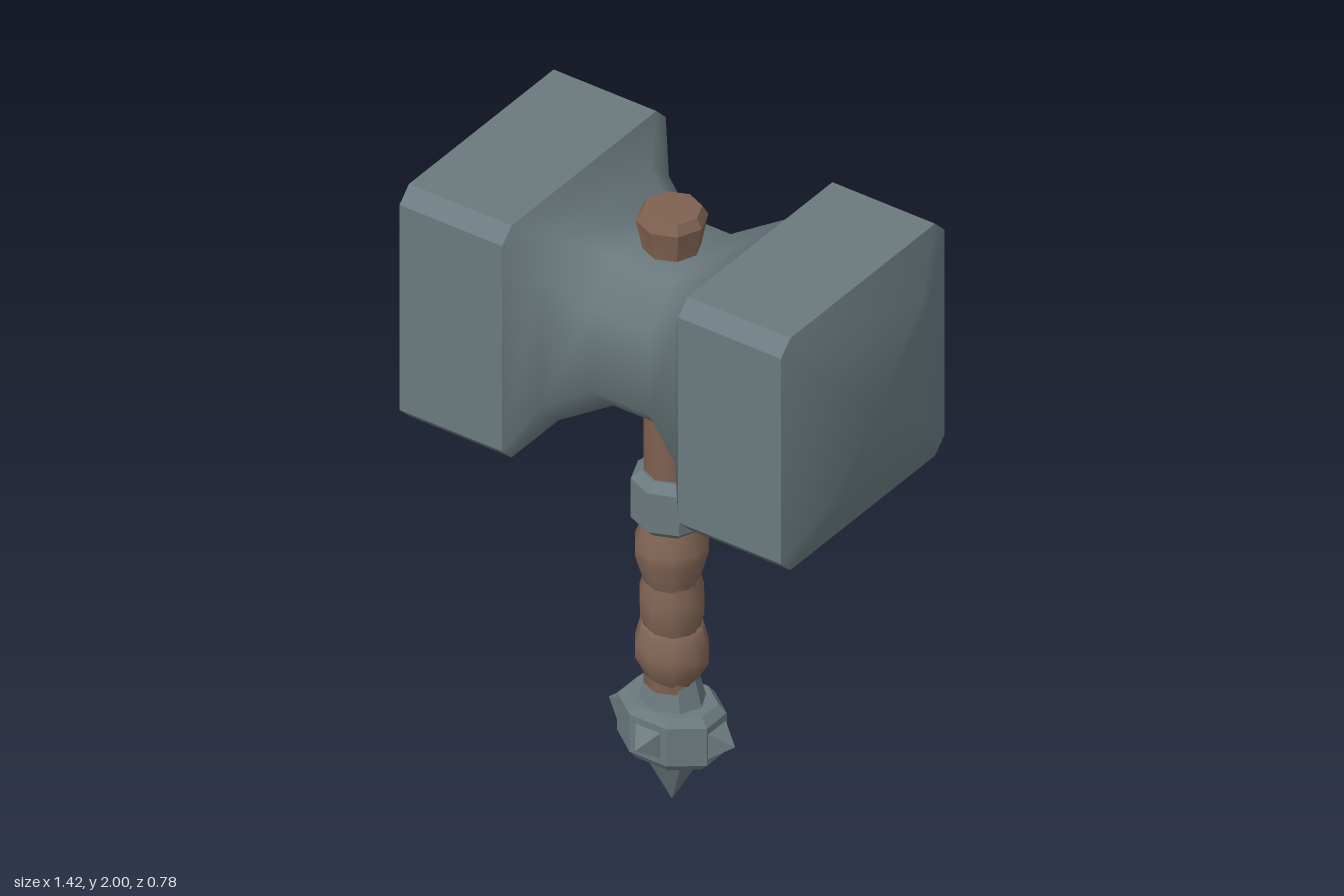
import * as THREE from 'three';
import { toCreasedNormals } from 'three/addons/utils/BufferGeometryUtils.js';

const mat = (name, color) => {
  const m = new THREE.MeshStandardMaterial({ color });
  m.name = name;
  return m;
};

// Loft of chamfered squares along x; each section is [x, halfSize, flatHalf]
function loft(sections, cy, crease, capStart, capEnd) {
  const pos = [], idx = [];
  for (const [x, h, f] of sections) {
    const ring = [[h, -f], [h, f], [f, h], [-f, h], [-h, f], [-h, -f], [-f, -h], [f, -h]];
    for (const [y, z] of ring) pos.push(x, cy + y, z);
  }
  const n = sections.length;
  for (let s = 0; s < n - 1; s++) {
    for (let i = 0; i < 8; i++) {
      const a = s * 8 + i, a2 = s * 8 + (i + 1) % 8;
      idx.push(a, a2, a + 8, a2, a2 + 8, a + 8);
    }
  }
  const cap = (s, flip) => {
    const c = pos.length / 3;
    pos.push(sections[s][0], cy, 0);
    for (let i = 0; i < 8; i++) {
      const a = s * 8 + i, b = s * 8 + (i + 1) % 8;
      if (flip) idx.push(c, b, a);
      else idx.push(c, a, b);
    }
  };
  if (capStart) cap(0, true);
  if (capEnd) cap(n - 1, false);
  const g = new THREE.BufferGeometry();
  g.setAttribute('position', new THREE.Float32BufferAttribute(pos, 3));
  g.setIndex(idx);
  return toCreasedNormals(g, crease);
}

// Turned part from a bottom-to-top profile of [radius, y]
function turned(profile, sides = 8, crease = 0.3, phase = 0) {
  const g = new THREE.LatheGeometry(profile.map(([r, y]) => new THREE.Vector2(r, y)), sides);
  g.rotateY(phase);
  return toCreasedNormals(g, crease);
}

export function createModel() {
  const model = new THREE.Group();
  model.name = 'hammer';
  const metal = mat('steel', 0x6b7a7e);
  const wood = mat('wood', 0x7f6150);
  const leather = mat('leather', 0x7f6353);
  const add = (name, geo, material, parent = model) => {
    const m = new THREE.Mesh(geo, material);
    m.name = name;
    parent.add(m);
    return m;
  };

  // Head: two blocks with bevelled striking faces, joined by a rounded waist
  const cy = 1.61;
  const block = [[0.3, 0.39, 0.345], [0.65, 0.39, 0.345], [0.71, 0.23, 0.2]];
  add('leftHeadBlock', loft(block, cy, 0.55, false, true), metal);
  const mirrored = block.map(([x, h, f]) => [-x, h, f]).reverse();
  add('rightHeadBlock', loft(mirrored, cy, 0.55, true, false), metal);
  const half = [[0.1, 0.25, 0.14], [0.23, 0.307, 0.22], [0.3, 0.39, 0.345]];
  const waist = [...half.map(([x, h, f]) => [-x, h, f]).reverse(), ...half];
  add('headWaist', loft(waist, cy, 1.0, false, false), metal);

  // Wooden shaft with a flared end above the head
  add('shaft', turned([[0, 0.4], [0.08, 0.4], [0.08, 1.84]], 8, 0.9), wood);
  add('shaftTop', turned([[0.08, 1.8], [0.083, 1.86], [0.102, 1.955], [0.085, 1.985], [0, 1.988]]), wood);

  // Collar under the head
  add('collar', turned([[0, 0.935], [0.09, 0.935], [0.116, 0.96], [0.116, 1.09], [0.09, 1.115], [0, 1.115]]), metal);

  // Leather wrap: three bulges, each edge slanted as the strip winds round
  const grip = new THREE.Group();
  grip.name = 'grip';
  model.add(grip);
  const bulges = [
    [[0.075, 0.425], [0.108, 0.49], [0.107, 0.525], [0.09, 0.595], [0.06, 0.61]],
    [[0.06, 0.59], [0.083, 0.6], [0.094, 0.645], [0.094, 0.705], [0.08, 0.755], [0.06, 0.76]],
    [[0.06, 0.745], [0.08, 0.75], [0.108, 0.85], [0.108, 0.88], [0.08, 0.945]],
  ];
  const slants = [[-0.12, 0], [-0.06, -0.06], [0, -0.13]];
  bulges.forEach((profile, k) => {
    const g = new THREE.LatheGeometry(profile.map(([r, y]) => new THREE.Vector2(r, y)), 10);
    const p = g.attributes.position;
    for (let i = 0; i < p.count; i++) {
      p.setY(i, p.getY(i) + slants[k][0] * p.getX(i) + slants[k][1] * p.getZ(i));
    }
    add('wrap' + (k + 1), toCreasedNormals(g, 0.9), leather, grip);
  });
  // Loose end of the strip
  const end = add('wrapEnd', new THREE.BoxGeometry(0.07, 0.05, 0.035), leather, grip);
  end.position.set(0, 0.475, -0.095);

  // Pommel: tapered neck, octagonal ring and point, wider across x than z
  const pommel = new THREE.Group();
  pommel.name = 'pommel';
  model.add(pommel);
  const eighth = Math.PI / 8, out = 1 / Math.cos(eighth);
  const flatSided = (profile) =>
    turned(profile.map(([r, y]) => [r * out, y]), 8, 0.3, eighth).scale(1, 1, 0.75);
  add('pommelNeck', turned([[0.105, 0.33], [0.078, 0.435], [0, 0.435]]).scale(1, 1, 0.87), metal, pommel);
  add('pommelRing', flatSided([[0, 0.172], [0.13, 0.172], [0.153, 0.197], [0.153, 0.322], [0.13, 0.346], [0, 0.346]]), metal, pommel);
  add('pommelPoint', turned([[0, 0], [0.1, 0.175]]).scale(1, 1, 0.77), metal, pommel);

  // Four pyramid studs round the ring
  for (let i = 0; i < 4; i++) {
    const stud = turned([[0, 0], [0.062, 0], [0, 0.065]], 4, 0.3, Math.PI / 4);
    stud.rotateX(Math.PI / 2);
    stud.translate(0, 0.258, i % 2 ? 0.15 : 0.112);
    // Turn about the pommel's axis
    stud.rotateY(i * Math.PI / 2);
    add('stud' + (i + 1), stud, metal, pommel);
  }
  return model;
}
